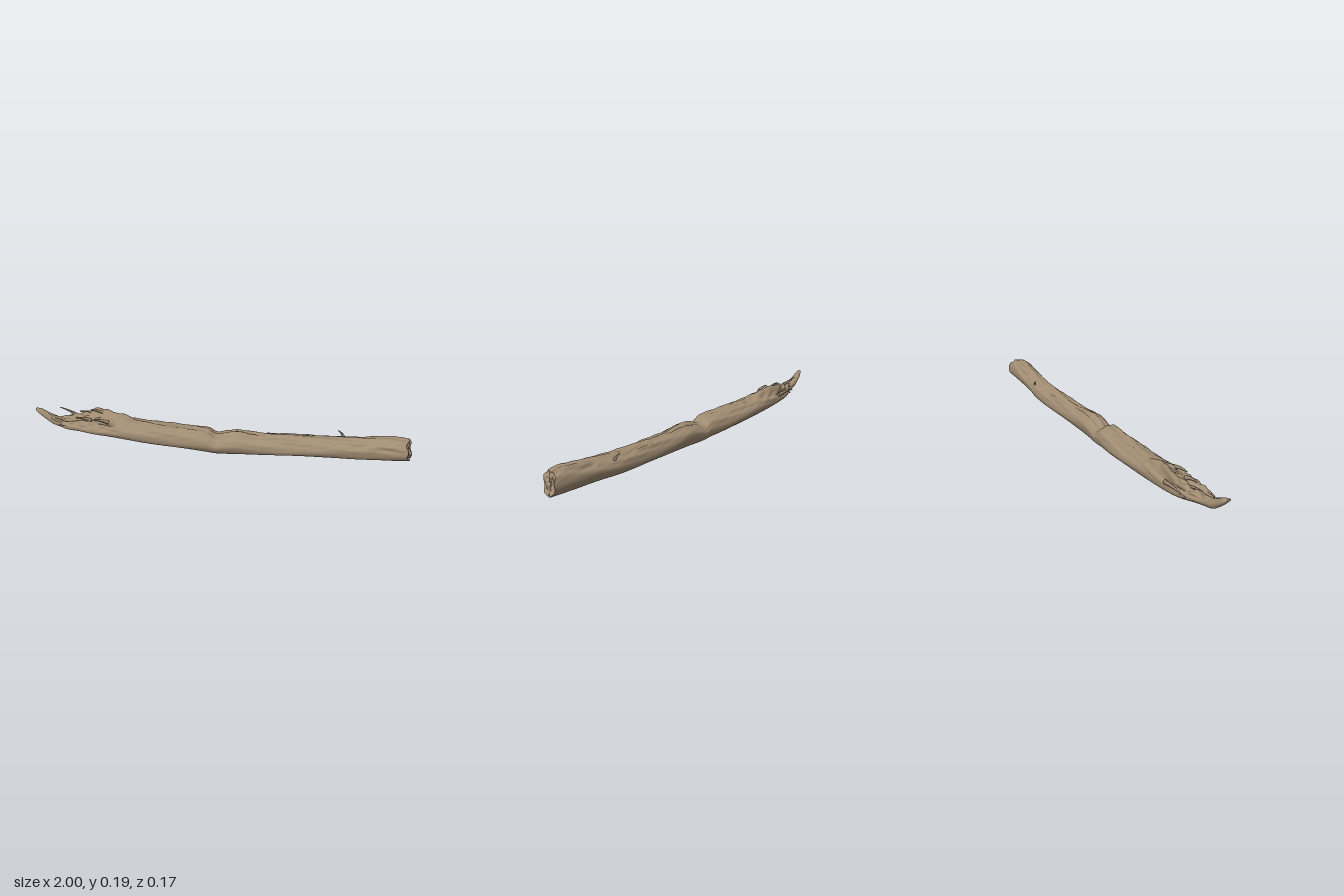
import * as THREE from 'three';

const SIDES = 56;

// Log stations: x, bottom y, top y, back z, front z
const STATIONS = [
  [-1.0, 0.176, 0.19, -0.012, 0.012],
  [-0.97, 0.142, 0.182, -0.022, 0.015],
  [-0.92, 0.1, 0.152, -0.026, 0.018],
  [-0.87, 0.086, 0.138, -0.03, 0.03],
  [-0.83, 0.079, 0.145, -0.045, 0.048],
  [-0.76, 0.07, 0.152, -0.075, 0.055],
  [-0.68, 0.06, 0.15, -0.082, 0.064],
  [-0.55, 0.046, 0.152, -0.08, 0.064],
  [-0.4, 0.031, 0.143, -0.075, 0.066],
  [-0.2, 0.015, 0.138, -0.068, 0.07],
  [-0.07, 0.008, 0.136, -0.056, 0.076],
  [-0.025, 0.006, 0.112, -0.052, 0.077],
  [0.03, 0.007, 0.128, -0.05, 0.078],
  [0.09, 0.01, 0.139, -0.049, 0.079],
  [0.2, 0.015, 0.128, -0.05, 0.077],
  [0.4, 0.019, 0.13, -0.054, 0.066],
  [0.6, 0.025, 0.136, -0.058, 0.062],
  [0.72, 0.031, 0.148, -0.047, 0.068],
  [0.85, 0.036, 0.164, -0.041, 0.072],
  [0.93, 0.04, 0.168, -0.037, 0.075],
  [0.975, 0.044, 0.16, -0.036, 0.072],
];

// Ridges (+) and cracks (-): x start, x end, angle, angular width, height
const RELIEF = [
  [-0.72, -0.46, 1.9, 0.25, 0.035],
  [-0.86, -0.64, 1.35, 0.3, -0.026],
  [-0.66, -0.5, 1.0, 0.12, -0.018],
  [-0.8, -0.55, 2.5, 0.14, -0.02],
  [-0.5, -0.2, 1.75, 0.13, -0.012],
  [-0.38, -0.05, 1.15, 0.1, 0.007],
  [0.0, 0.38, 1.85, 0.09, -0.013],
  [0.1, 0.5, 1.3, 0.12, -0.007],
  [0.35, 0.72, 2.1, 0.1, -0.01],
  [0.66, 0.88, 0.75, 0.22, -0.009],
  [0.8, 0.96, 0.3, 0.16, -0.008],
  [0.74, 0.92, 2.4, 0.15, -0.008],
];

// Smooth interpolation of one column of the stations
function profile(x, col) {
  let i = 0;
  while (i < STATIONS.length - 2 && x > STATIONS[i + 1][0]) i++;
  const slope = (k) => {
    const p = STATIONS[Math.max(k - 1, 0)], q = STATIONS[Math.min(k + 1, STATIONS.length - 1)];
    return (q[col] - p[col]) / (q[0] - p[0]);
  };
  const a = STATIONS[i], b = STATIONS[i + 1], h = b[0] - a[0], t = (x - a[0]) / h;
  return (2 * t ** 3 - 3 * t * t + 1) * a[col] + (t ** 3 - 2 * t * t + t) * h * slope(i)
    + (3 * t * t - 2 * t ** 3) * b[col] + (t ** 3 - t * t) * h * slope(i + 1);
}

// Radial bark and weathering offset
function bark(x, a) {
  const upper = THREE.MathUtils.smoothstep(Math.sin(a), -0.2, 0.8);
  const decay = 1 - THREE.MathUtils.smoothstep(x, -0.75, -0.3);
  let d = 0.0016 * Math.sin(3 * a + 7 * x) + 0.0012 * Math.sin(5 * a - 11 * x + 1);
  d += upper * 0.0022 * (Math.sin(9 * a + 17 * x) + Math.sin(13 * a - 23 * x + 2) * Math.sin(31 * x));
  d += upper * decay * 0.004 * (Math.sin(11 * a + 40 * x) + Math.sin(7 * a - 73 * x));
  for (const [x0, x1, ang, width, height] of RELIEF) {
    if (x <= x0 || x >= x1) continue;
    const drift = ang + 0.1 * Math.sin(25 * x);
    const t = (x - x0) / (x1 - x0);
    d += height * Math.sin(Math.PI * Math.sqrt(t)) * Math.exp(-(((a - drift) / width) ** 2));
  }
  return d * THREE.MathUtils.smoothstep(x, -0.98, -0.8);
}

// Point on the log's skin, with the sawn end slightly slanted
function skinPoint(x, a) {
  const [y0, y1, z0, z1] = [1, 2, 3, 4].map((c) => profile(x, c));
  const d = bark(x, a), c = Math.cos(a), s = Math.sin(a);
  const end = THREE.MathUtils.smoothstep(x, 0.85, 0.975);
  return new THREE.Vector3(
    x + end * (-0.013 * s - 0.013 * c + 0.005 * Math.sin(5 * a)),
    (y0 + y1) / 2 + ((y1 - y0) / 2 + d) * s,
    (z0 + z1) / 2 + ((z1 - z0) / 2 + d) * c);
}

// Closed skin through equal rings of points
function loft(rows, pointAt) {
  const positions = [], index = [];
  for (let i = 0; i <= rows; i++) {
    for (let j = 0; j < SIDES; j++) {
      // Angles run from -90 to 270 degrees so the seam lies underneath
      positions.push(...pointAt(i / rows, (j / SIDES) * Math.PI * 2 - Math.PI / 2).toArray());
      if (i === rows) continue;
      const p = i * SIDES + j, q = i * SIDES + ((j + 1) % SIDES);
      index.push(p, p + SIDES, q, q, p + SIDES, q + SIDES);
    }
  }
  const geometry = new THREE.BufferGeometry();
  geometry.setAttribute('position', new THREE.Float32BufferAttribute(positions, 3));
  geometry.setIndex(index);
  geometry.computeVertexNormals();
  return geometry;
}

// Tapered splinter from a base point to a tip
function splinter(name, base, tip, radius, material) {
  const from = new THREE.Vector3(...base), dir = new THREE.Vector3(...tip).sub(from);
  const length = dir.length();
  const geometry = new THREE.CylinderGeometry(radius * 0.25, radius, length, 7, 5);
  const pos = geometry.attributes.position;
  for (let i = 0; i < pos.count; i++) {
    const t = pos.getY(i) / length + 0.5;
    pos.setX(i, pos.getX(i) + radius * 0.5 * Math.sin(t * Math.PI));
    pos.setZ(i, pos.getZ(i) * 0.7);
  }
  geometry.translate(0, length / 2, 0);
  geometry.computeVertexNormals();
  const mesh = new THREE.Mesh(geometry, material);
  mesh.name = name;
  mesh.position.copy(from);
  mesh.quaternion.setFromUnitVectors(new THREE.Vector3(0, 1, 0), dir.normalize());
  return mesh;
}

export function createModel() {
  const group = new THREE.Group();
  group.name = 'log';
  const wood = new THREE.MeshStandardMaterial({ color: 0xa08c72 });
  wood.name = 'weathered wood';

  // Trunk, running from the torn tip to the broken end
  const trunk = new THREE.Mesh(loft(260, (t, a) => skinPoint(-1 + 1.975 * t, a)), wood);
  trunk.name = 'trunk';
  group.add(trunk);

  // Rough, slightly hollow end face
  const centre = new THREE.Vector3(0.965, 0.1, 0.018);
  const endFace = new THREE.Mesh(loft(9, (t, a) => {
    const p = skinPoint(0.975, a).lerp(centre, t);
    const rough = Math.sin(Math.PI * t);
    p.x += rough * (0.006 * Math.sin(3 * a + 6 * t) + 0.004 * Math.sin(7 * a - 9 * t));
    return p;
  }), wood);
  endFace.name = 'brokenEnd';
  group.add(endFace);

  // Closing point of the torn tip
  const tipCap = new THREE.Mesh(loft(1, (t, a) =>
    new THREE.Vector3(-1, 0.183, 0).lerp(skinPoint(-1, a), t)), wood);
  tipCap.name = 'tipCap';
  group.add(tipCap);

  // Torn splinters and small twigs
  const SPLINTERS = [
    [[-0.78, 0.145, -0.025], [-0.885, 0.178, -0.042], 0.009],
    [[-0.8, 0.14, -0.02], [-0.83, 0.166, -0.03], 0.01],
    [[-0.66, 0.125, -0.076], [-0.79, 0.132, -0.086], 0.013],
    [[-0.72, 0.1, -0.066], [-0.8, 0.108, -0.068], 0.015],
    [[-0.6, 0.15, -0.03], [-0.71, 0.18, -0.036], 0.014],
    [[-0.7, 0.14, 0.01], [-0.78, 0.155, 0.015], 0.012],
    [[-0.78, 0.11, 0.035], [-0.87, 0.118, 0.042], 0.014],
    [[-0.6, 0.145, 0.025], [-0.69, 0.158, 0.03], 0.012],
    [[0.64, 0.115, -0.038], [0.61, 0.15, -0.048], 0.009],
    [[0.955, 0.07, 0.02], [0.995, 0.06, 0.0], 0.014],
  ];
  SPLINTERS.forEach(([base, tip, r], i) => group.add(splinter(`splinter${i + 1}`, base, tip, r, wood)));
  return group;
}
